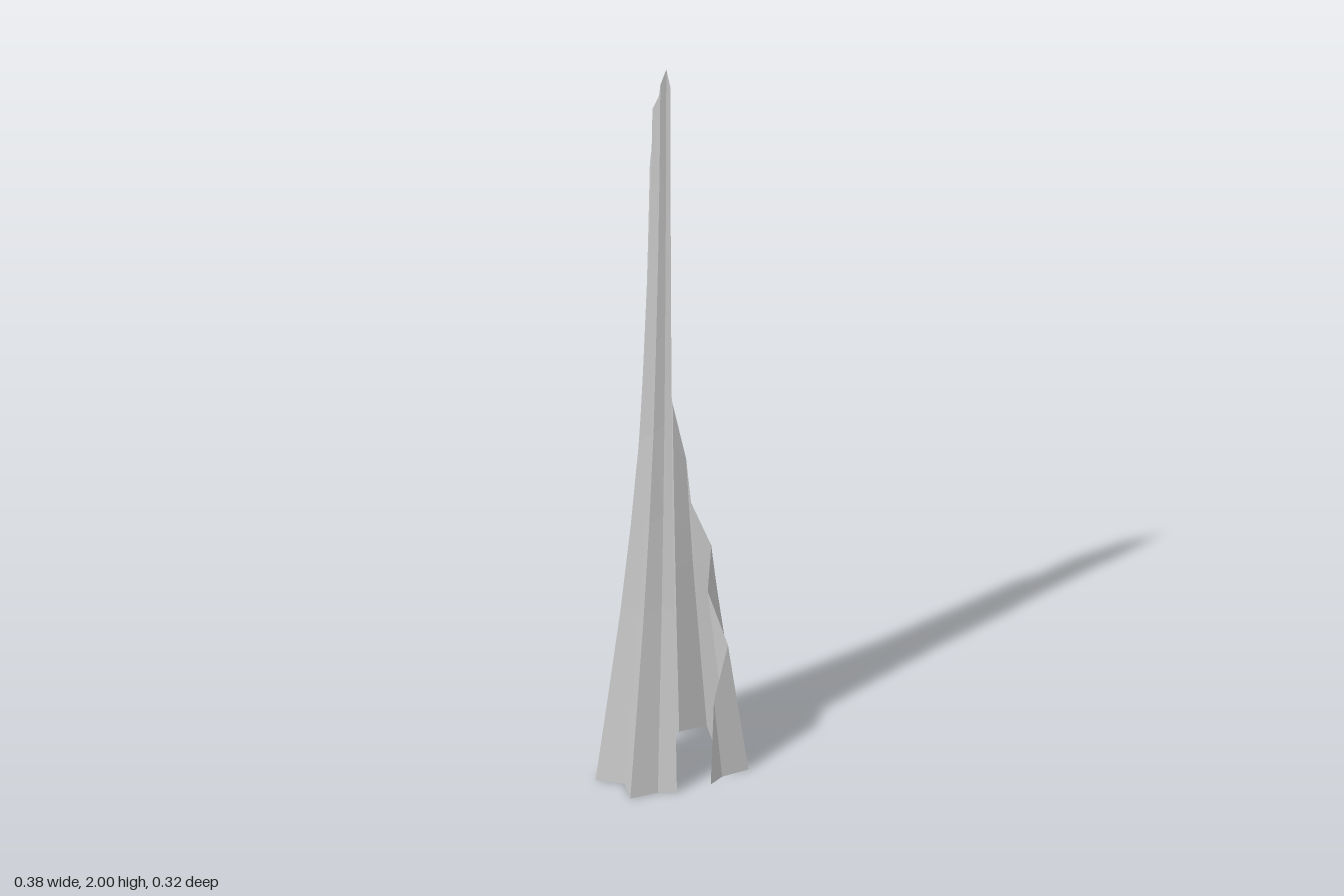
import * as THREE from 'three';

// Taper of the tower: [height, scale of the star-shaped plan]
const TAPER = [[0, 1], [0.23, 0.83], [0.48, 0.65], [0.7, 0.52], [0.93, 0.405], [1.13, 0.35], [1.39, 0.285], [1.7, 0.235], [2, 0.21]];

function taper(y) {
  for (let i = 1; i < TAPER.length; i++) {
    const [y0, s0] = TAPER[i - 1], [y1, s1] = TAPER[i];
    if (y <= y1) return s0 + (s1 - s0) * (y - y0) / (y1 - y0);
  }
  return TAPER[TAPER.length - 1][1];
}

// Spiral top edge: height at each fold, counted round from the front to the tip
const FIRST = 5;
const TOPS = [0, 0.21, 0.35, 0.48, 0.59, 0.71, 0.82, 0.99, 1.13, 1.31, 1.45, 1.58, 1.71, 1.83, 1.88, 1.92, 1.96, 2, 1.95];

// Arched lower edge at the back: fold -> bottom point
const ARCH = {
  '-4': [0.06, 0.23, -0.139],
  '-5': [0.018, 0.4, -0.126],
  '-6': [0, 0.52, -0.092],
  '-7': [-0.046, 0.77, -0.074],
  '-8': [-0.046, 0.99, -0.033],
};

// Point on a fold of the ten-pointed star (odd folds are ridges, even are valleys)
function starPoint(k, y) {
  const r = (k === 5 || k === -13 || k % 2 === 0 ? 0.15 : 0.2) * taper(y);
  const a = k * Math.PI / 10;
  return new THREE.Vector3(r * Math.cos(a), y, r * Math.sin(a));
}

// One fold line from its bottom to its top
function foldLine(k, arched, steps) {
  const top = TOPS[FIRST - k];
  const low = arched && ARCH[k] ? new THREE.Vector3(...ARCH[k]) : starPoint(k, 0);
  const shift = low.clone().sub(starPoint(k, low.y));
  const line = [];
  for (let i = 0; i <= steps; i++) {
    const f = i / steps;
    line.push(starPoint(k, low.y + (top - low.y) * f).addScaledVector(shift, 1 - f));
  }
  return line;
}

// Pleated wall spanning a run of folds
function pleatedWall(name, from, to, arched, material) {
  const steps = 8, pos = [], index = [];
  for (let k = from; k >= to; k--) {
    for (const p of foldLine(k, arched, steps)) pos.push(p.x, p.y, p.z);
  }
  const row = steps + 1;
  for (let c = 0; c < from - to; c++) {
    for (let i = 0; i < steps; i++) {
      const a = c * row + i, b = a + row;
      index.push(a, a + 1, b, b, a + 1, b + 1);
    }
  }
  const geo = new THREE.BufferGeometry();
  geo.setAttribute('position', new THREE.Float32BufferAttribute(pos, 3));
  geo.setIndex(index);
  const flat = geo.toNonIndexed();
  flat.computeVertexNormals();
  const mesh = new THREE.Mesh(flat, material);
  mesh.name = name;
  return mesh;
}

export function createModel() {
  const group = new THREE.Group();
  group.name = 'pleatedTower';
  const material = new THREE.MeshStandardMaterial({ color: 0xcccccc, flatShading: true, side: THREE.DoubleSide });
  // Long wall climbing from the front, round the left and over the back arch
  group.add(pleatedWall('spiralWall', 5, -8, true, material));
  // Tall wall on the right that carries the tip
  group.add(pleatedWall('tallWall', -8, -13, false, material));
  return group;
}
